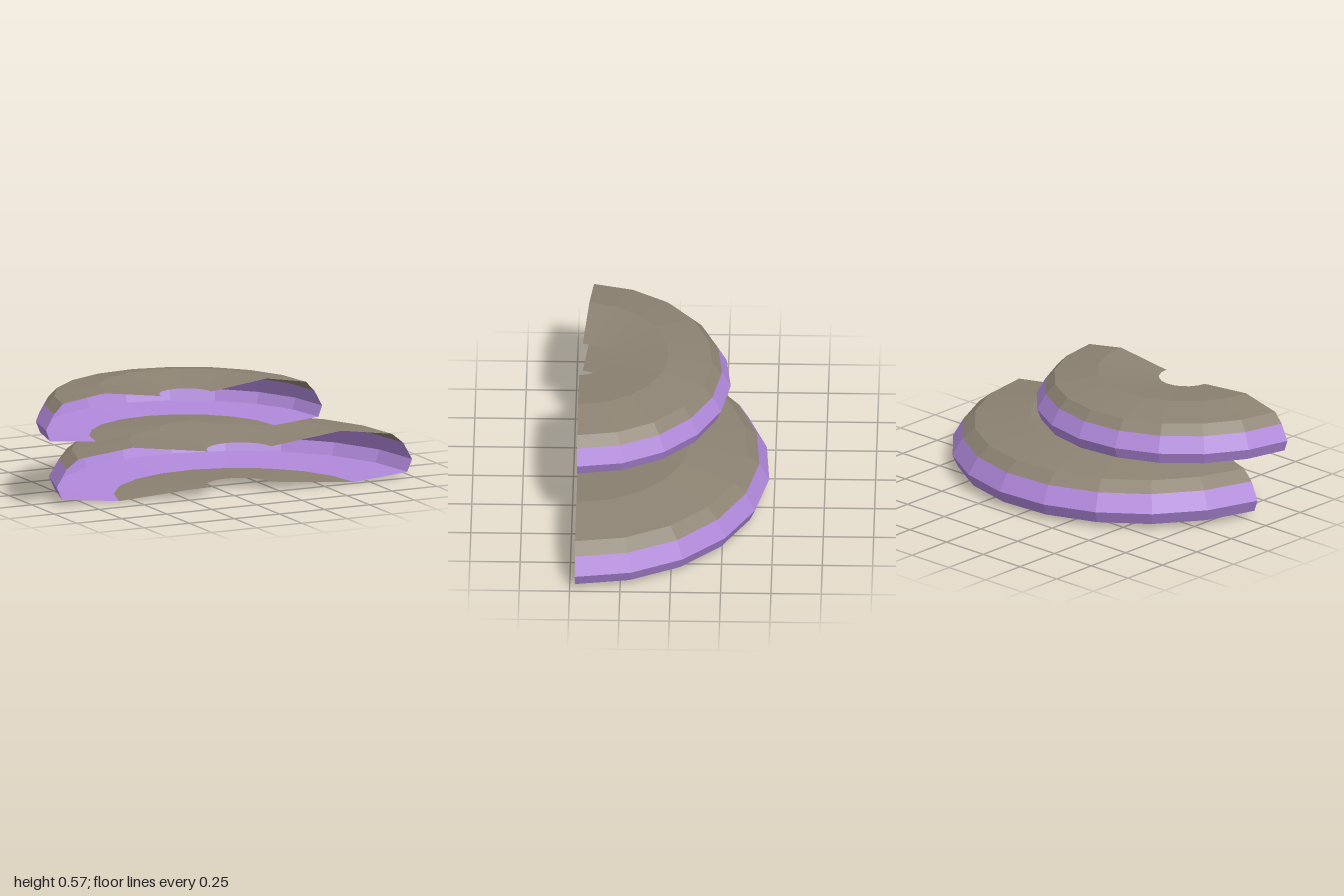
import * as THREE from 'three';

const skin = new THREE.MeshStandardMaterial({ name: 'purple', color: 0xb088da, flatShading: true, side: THREE.DoubleSide });
const flesh = new THREE.MeshStandardMaterial({ name: 'warm grey', color: 0x8c8272, flatShading: true, side: THREE.DoubleSide });

// Open shell turned about its own axis; the profile runs from the lower hole, round the rim, to the upper hole.
function shell(name, profile, degrees, x, y) {
  const group = new THREE.Group();
  group.name = name;
  const addBand = (bandName, from, to, material) => {
    const points = profile.slice(from, to + 1).map(([r, h]) => new THREE.Vector2(r, h));
    const turned = new THREE.LatheGeometry(points, 10, Math.PI / 2, THREE.MathUtils.degToRad(degrees));
    const geometry = turned.toNonIndexed();
    geometry.computeVertexNormals();
    const mesh = new THREE.Mesh(geometry, material);
    mesh.name = bandName;
    group.add(mesh);
  };
  addBand('underside', 0, 1, flesh);
  addBand('rim', 1, 4, skin);
  addBand('top', 4, 7, flesh);
  group.position.set(x, y, 0.474);
  return group;
}

export function createModel() {
  const model = new THREE.Group();
  model.name = 'stackedHalfShells';

  // Wide lower shell
  model.add(shell('lowerShell', [
    [0.17, 0.045], [0.63, 0], [0.925, 0.025], [0.952, 0.087],
    [0.902, 0.175], [0.84, 0.225], [0.56, 0.267], [0.17, 0.225],
  ], 170, 0.048, 0));

  // Smaller upper shell, floating above and to one side
  model.add(shell('upperShell', [
    [0.137, 0.04], [0.485, 0], [0.73, 0.02], [0.751, 0.076],
    [0.708, 0.155], [0.661, 0.204], [0.443, 0.241], [0.137, 0.204],
  ], 175, -0.251, 0.33));

  return model;
}
